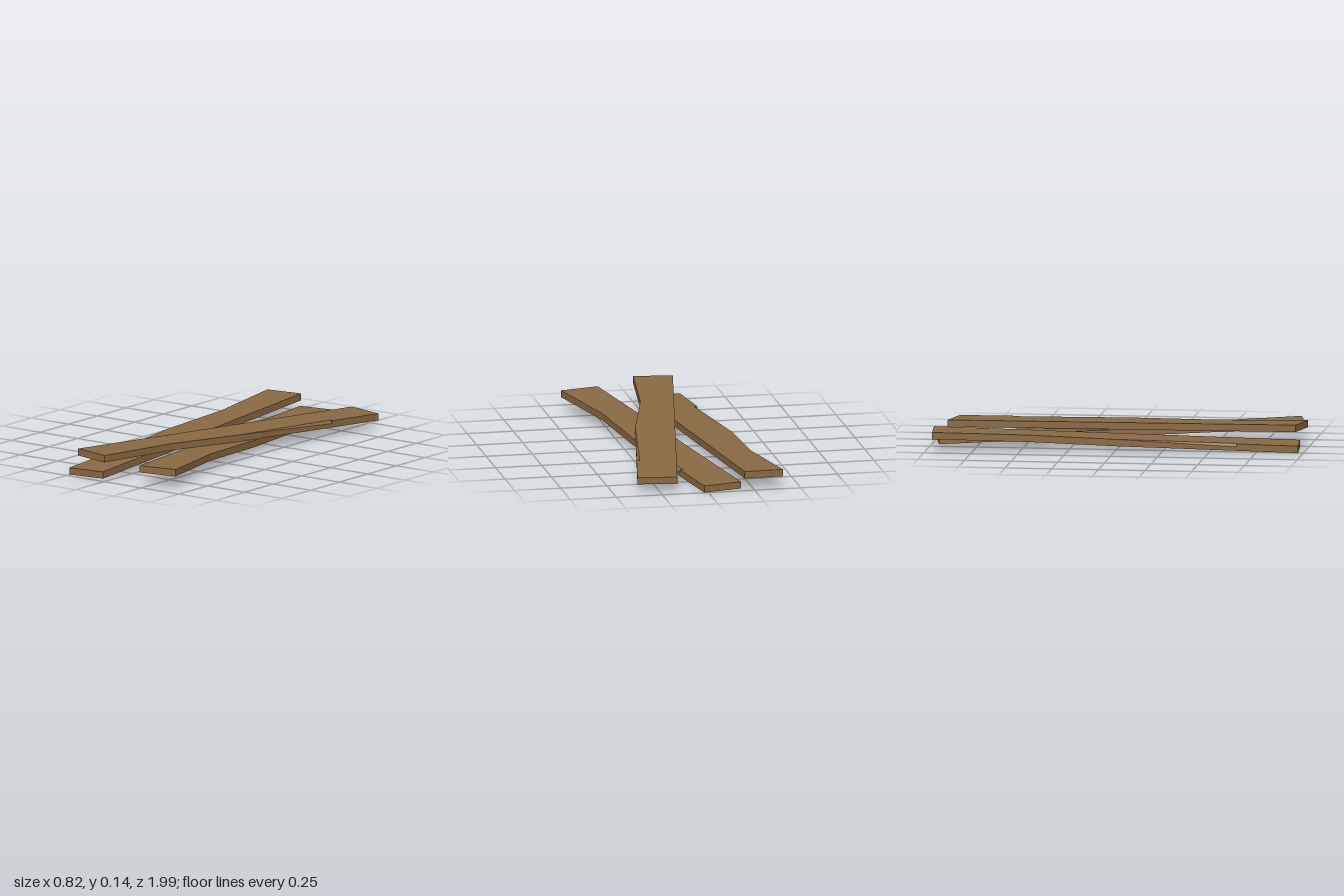
import * as THREE from 'three';

const W = 0.106, H = 0.974, T = 0.0185; // half width, half length, half thickness
const CHIP_Z = -0.645;

// One weathered plank: a straight edge on -x, a shallow notch and a chipped corner on +x
function plankGeometry() {
  const pos = [];
  const face = (...p) => { // convex or star-shaped polygon, fanned from its first corner
    for (let i = 1; i < p.length - 1; i++) pos.push(...p[0], ...p[i], ...p[i + 1]);
  };
  const outline = [[-W, -H], [W, -H], [W, CHIP_Z], [W, 0], [0.073, 0.48], [W, H], [-W, H]];
  const at = (y) => ([x, z]) => [x, y, z];
  const bottom = outline.map(at(-T));
  const top = outline.map(at(T));
  const chipIn = [W - 0.017, T, CHIP_Z];
  const chipLow = [W, T - 0.016, CHIP_Z];

  // broad faces
  face(...bottom);
  const t = [...top.slice(0, 3), chipIn, ...top.slice(3)];
  face(t[0], ...t.slice(1).reverse());

  // walls around the edge, lowered where the chip cuts the top edge
  outline.forEach((_, i) => {
    const j = (i + 1) % outline.length;
    face(bottom[i], i === 2 ? chipLow : top[i], top[j], bottom[j]);
  });

  // chip bevel and its end wall
  face(chipLow, chipIn, top[3]);
  face(chipLow, top[2], chipIn);

  const geo = new THREE.BufferGeometry();
  geo.setAttribute('position', new THREE.Float32BufferAttribute(pos, 3));
  geo.computeVertexNormals();
  return geo;
}

export function createModel() {
  const group = new THREE.Group();
  group.name = 'plankPile';
  const wood = new THREE.MeshStandardMaterial({ color: 0x8a6a43 });
  wood.name = 'brown wood';
  const geo = plankGeometry();

  // name, centre, [pitch, yaw, roll]
  const planks = [
    ['rightPlank', [-0.225, 0.0525, -0.006], [-0.031, -3.0594, -0.015]],
    ['lowerCrossedPlank', [0.111, 0.0555, -0.025], [-0.034, 0.199, -0.008]],
    ['upperCrossedPlank', [0.08, 0.0955, 0.0175], [-0.031, -0.191, -0.012]],
  ];
  for (const [name, p, r] of planks) {
    const plank = new THREE.Mesh(geo, wood);
    plank.name = name;
    plank.position.set(...p);
    plank.rotation.set(...r, 'YXZ');
    group.add(plank);
  }
  return group;
}
